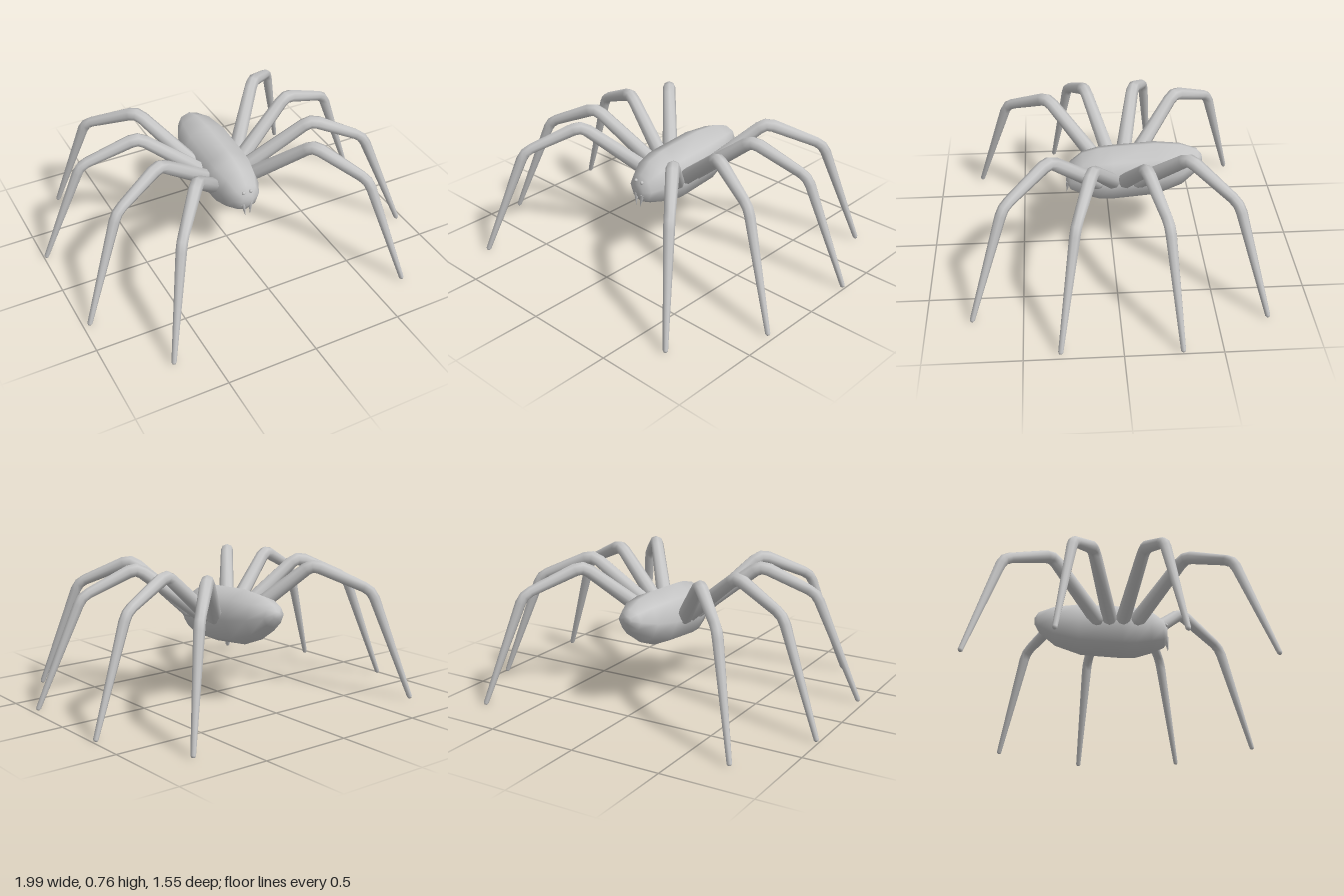
import * as THREE from 'three';

const V = (x, y, z) => new THREE.Vector3(x, y, z);

// Closed skin over elliptical sections {c, u, v}; u x v points along the loft.
function loft(sections, sides) {
  const pos = [], idx = [];
  for (const { c, u, v } of sections) {
    for (let j = 0; j < sides; j++) {
      const a = (j / sides) * Math.PI * 2;
      const p = c.clone().addScaledVector(u, Math.cos(a)).addScaledVector(v, Math.sin(a));
      pos.push(p.x, p.y, p.z);
    }
  }
  const n = sections.length, start = n * sides, end = start + 1;
  pos.push(...sections[0].c.toArray(), ...sections[n - 1].c.toArray());
  for (let j = 0; j < sides; j++) {
    const k = (j + 1) % sides;
    for (let i = 0; i < n - 1; i++) {
      const a = i * sides + j, b = i * sides + k;
      idx.push(a, b, a + sides, b, b + sides, a + sides);
    }
    const last = (n - 1) * sides;
    idx.push(start, k, j, end, last + j, last + k);
  }
  const g = new THREE.BufferGeometry();
  g.setAttribute('position', new THREE.Float32BufferAttribute(pos, 3));
  g.setIndex(idx);
  g.computeVertexNormals();
  return g;
}

// Tapered limb through joints [x, y, z, radius], with rounded bends and ends.
function limb(joints) {
  const pts = [];
  const at = (i) => V(...joints[i].slice(0, 3));
  const last = joints.length - 1;
  joints.forEach((jt, i) => {
    const p = at(i), r = jt[3];
    if (i === 0 || i === last) return pts.push({ p, r });
    const a = p.clone().add(at(i - 1).sub(p).setLength(0.045));
    const b = p.clone().add(at(i + 1).sub(p).setLength(0.045));
    const mid = a.clone().add(b).multiplyScalar(0.25).addScaledVector(p, 0.5);
    pts.push({ p: a, r }, { p: mid, r }, { p: b, r });
  });
  const cap = (end, next) => ({
    p: end.p.clone().add(end.p.clone().sub(next.p).setLength(end.r * 0.7)), r: end.r * 0.6,
  });
  pts.unshift(cap(pts[0], pts[1]));
  pts.push(cap(pts[pts.length - 1], pts[pts.length - 2]));
  const run = at(last).sub(at(0));
  const side = V(run.z, 0, -run.x).normalize();
  return loft(pts.map(({ p, r }, i) => {
    const t = pts[Math.min(i + 1, pts.length - 1)].p.clone().sub(pts[Math.max(i - 1, 0)].p).normalize();
    const v = t.clone().cross(side).normalize();
    return { c: p, u: side.clone().multiplyScalar(r), v: v.multiplyScalar(r) };
  }), 8);
}

export function createModel() {
  const model = new THREE.Group();
  model.name = 'spider';
  const grey = new THREE.MeshStandardMaterial({ color: 0xc6c6c6 });
  grey.name = 'light grey';
  const add = (geometry, name) => {
    const m = new THREE.Mesh(geometry, grey);
    m.name = name;
    model.add(m);
    return m;
  };

  // Body: z, top, bottom, half width
  const rings = [
    [0.249, 0.47, 0.4, 0.035], [0.228, 0.525, 0.363, 0.08], [0.16, 0.582, 0.329, 0.115],
    [0.07, 0.607, 0.302, 0.14], [0, 0.614, 0.3, 0.144], [-0.24, 0.627, 0.324, 0.146],
    [-0.38, 0.614, 0.38, 0.116], [-0.47, 0.58, 0.462, 0.07], [-0.495, 0.55, 0.51, 0.025],
  ];
  add(loft(rings.map(([z, top, bottom, w]) => ({
    c: V(0, (top + bottom) / 2, z), u: V(-w, 0, 0), v: V(0, (top - bottom) / 2, 0),
  })), 8), 'body');

  // Legs: x and z of hip, knee, ankle and foot, from front to back
  const legs = [
    [[0.13, 0.085], [0.34, 0.34], [0.54, 0.578], [0.688, 0.763]],
    [[0.125, 0.003], [0.45, 0.125], [0.735, 0.22], [0.963, 0.314]],
    [[0.125, -0.068], [0.45, -0.15], [0.755, -0.237], [0.985, -0.295]],
    [[0.13, -0.138], [0.36, -0.375], [0.585, -0.605], [0.746, -0.763]],
  ];
  const heights = [0.475, 0.742, 0.605, 0.015];
  const radii = [0.043, 0.036, 0.029, 0.0135];
  for (const s of [1, -1]) {
    const label = s > 0 ? 'left' : 'right';
    legs.forEach((leg, i) => {
      const joints = leg.map(([x, z], k) => [s * x, heights[k], z, radii[k]]);
      add(limb(joints), `${label}Leg${i + 1}`);
    });

    // Eyes and fangs
    const eye = add(new THREE.SphereGeometry(0.01, 8, 6), `${label}Eye`);
    eye.position.set(s * 0.022, 0.49, 0.243);
    const fang = add(new THREE.ConeGeometry(0.013, 0.075, 6), `${label}Fang`);
    fang.position.set(s * 0.0185, 0.379, 0.246);
    fang.rotation.set(Math.PI - 0.15, 0, s * 0.12);
  }
  return model;
}
